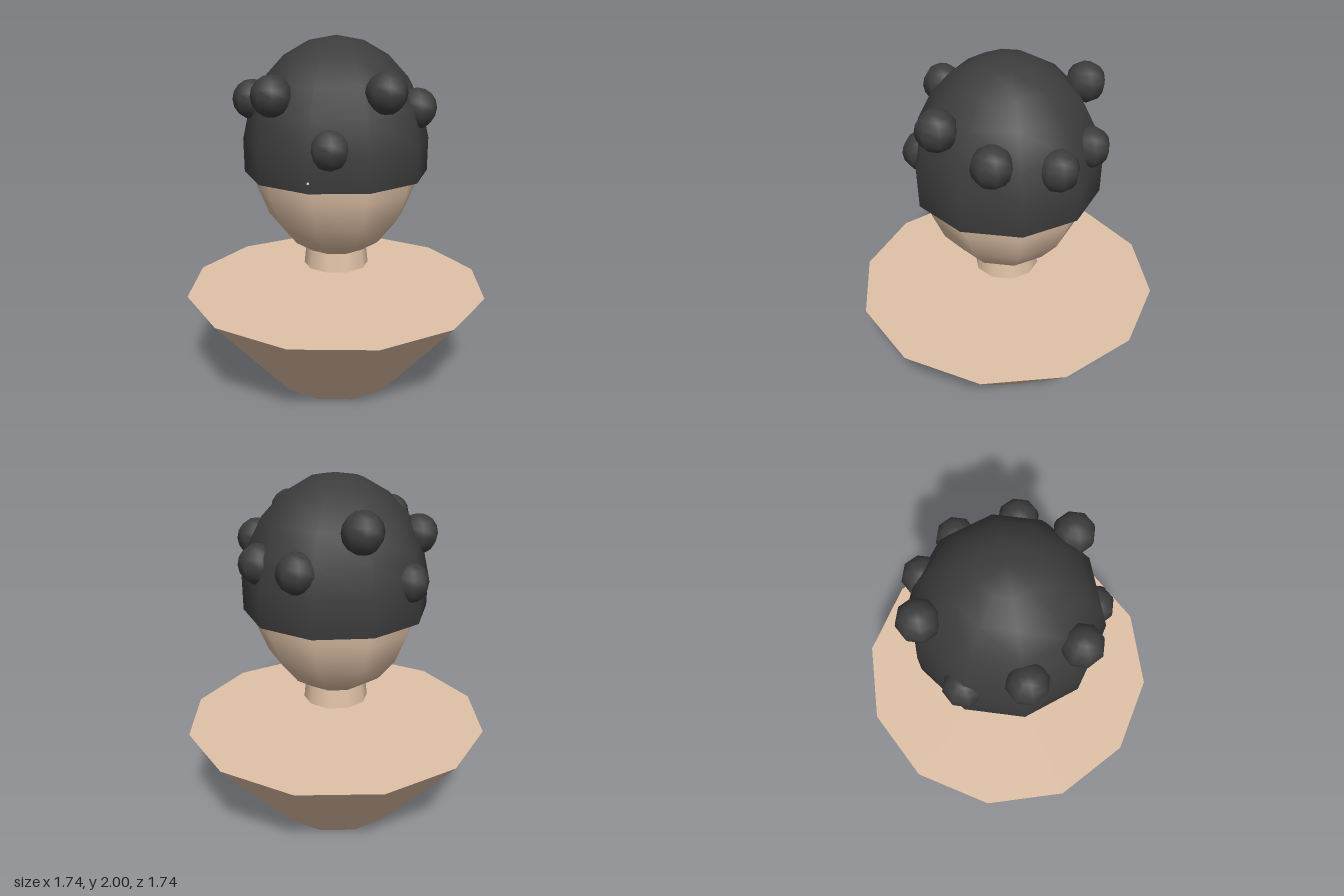
import * as THREE from 'three';

export function createModel() {
  const model = new THREE.Group();
  const skin = new THREE.MeshStandardMaterial({ color: 0xe0c2a7 });
  const hair = new THREE.MeshStandardMaterial({ color: 0x3d3d3d, side: THREE.DoubleSide });
  skin.name = 'skin';
  hair.name = 'darkHair';

  const add = (name, geometry, material, x, y, z) => {
    const mesh = new THREE.Mesh(geometry, material);
    mesh.name = name;
    mesh.position.set(x, y, z);
    model.add(mesh);
    return mesh;
  };

  // Tapered twelve-sided bust, wide at the top
  add('body', new THREE.CylinderGeometry(0.87, 0.38, 0.565, 12), skin, 0, 0.2825, 0);

  // Neck, tucked into the head
  add('neck', new THREE.CylinderGeometry(0.168, 0.186, 0.16, 10), skin, 0, 0.78, 0);

  // Egg-shaped head, a facet corner facing forward
  const headY = 1.352;
  const head = new THREE.SphereGeometry(1, 10, 10).rotateY(Math.PI / 2).scale(0.475, 0.59, 0.475);
  add('head', head, skin, 0, headY, 0);

  // Nose, its tip just poking out under the hair
  add('nose', new THREE.ConeGeometry(0.05, 0.12, 6).rotateX(Math.PI / 2), skin, 0, 1.305, 0.475);

  // Open cap of hair over the upper head
  const cap = new THREE.SphereGeometry(1, 10, 6, 0, Math.PI * 2, 0, Math.PI * 0.55)
    .rotateY(Math.PI / 2).scale(0.523, 0.648, 0.523);
  add('hairCap', cap, hair, 0, headY, 0);

  // Round curls scattered over the cap
  const curl = new THREE.SphereGeometry(0.11, 8, 8).rotateY(Math.PI / 8);
  [
    [-0.23, 1.715, 0.39], [0.09, 1.465, 0.44], [0.345, 1.74, 0.29],
    [0.45, 1.625, 0], [0.335, 1.565, -0.31], [0.09, 1.57, -0.445],
    [-0.23, 1.78, -0.39], [-0.43, 1.475, -0.16], [-0.43, 1.66, 0.155],
  ].forEach(([x, y, z], i) => add(`curl${i + 1}`, curl, hair, x, y, z));

  return model;
}
